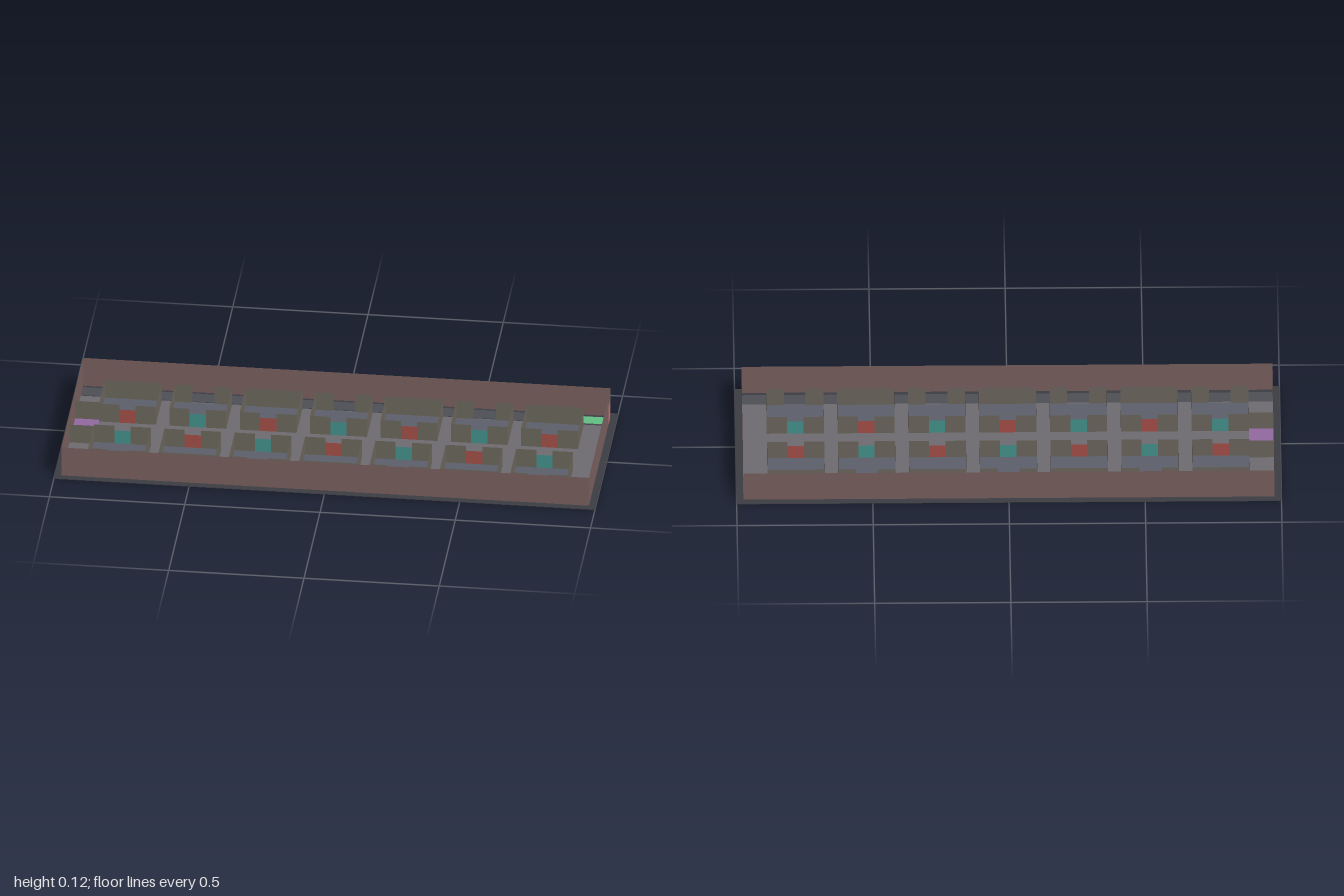
import * as THREE from 'three';

const mat = (color) => new THREE.MeshStandardMaterial({ color, side: THREE.DoubleSide });
const M = {
  base: mat(0x3c3c44), walkway: mat(0x4e4e56), hall: mat(0x6e6c70), cell: mat(0x5c606a),
  outer: mat(0x7a6260), inner: mat(0x6e695f), red: mat(0xa8504a), teal: mat(0x45958f),
  gate: mat(0xc87470), purple: mat(0x9268a0), green: mat(0x62c084),
};

const OUTER_H = 0.12, WALL_H = 0.075, DOOR_H = 0.055, FLOOR = 0.003;
const X = 0.975, Z = 0.34;

export function createModel() {
  const root = new THREE.Group();

  // flat floor tile between two corners
  function tile(parent, name, x0, x1, z0, z1, y, material) {
    const m = new THREE.Mesh(new THREE.PlaneGeometry(x1 - x0, z1 - z0).rotateX(-Math.PI / 2), material);
    m.position.set((x0 + x1) / 2, y, (z0 + z1) / 2);
    m.name = name;
    parent.add(m);
  }

  // thin upright panel between two ground points
  function wall(parent, name, x0, z0, x1, z1, h, material) {
    const m = new THREE.Mesh(new THREE.PlaneGeometry(Math.hypot(x1 - x0, z1 - z0), h), material);
    m.position.set((x0 + x1) / 2, FLOOR + h / 2, (z0 + z1) / 2);
    m.rotation.y = -Math.atan2(z1 - z0, x1 - x0);
    m.name = name;
    parent.add(m);
  }

  // ground slab
  const base = new THREE.Mesh(new THREE.BoxGeometry(2, 0.002, 0.73), M.base);
  base.position.y = 0.001;
  base.name = 'groundSlab';
  root.add(base);

  // central hall and segmented service walkways
  tile(root, 'hallFloor', -X, X, -0.265, 0.265, FLOOR, M.hall);
  const walkways = [[-0.27, -0.33, [-X, -0.26, 0.26, X]], [0.325, 0.265, [-X, -0.52, 0, 0.52, X]]];
  for (const [za, zb, cuts] of walkways) {
    for (let i = 0; i < cuts.length - 1; i++) {
      tile(root, 'walkwayFloor', cuts[i], cuts[i + 1], zb, za, FLOOR, M.walkway);
    }
  }

  // outer walls, with an entrance gap at the back of the left end
  const H = OUTER_H - FLOOR;
  wall(root, 'frontOuterWall', -X, Z, X, Z, H, M.outer);
  wall(root, 'backOuterWall', -X, -Z, X, -Z, H, M.outer);
  wall(root, 'rightOuterWall', -X, -Z, -X, Z, H, M.outer);
  wall(root, 'leftOuterWall', X, -0.273, X, Z, H, M.outer);
  wall(root, 'leftOuterWallEnd', X, -Z, X, -0.325, H, M.outer);
  wall(root, 'entranceDoor', X, -0.325, X, -0.273, 0.078, M.gate);
  tile(root, 'entranceFloor', 0.87, 0.963, -0.325, -0.273, 0.0045, M.green);

  // control room at the right end of the hall
  tile(root, 'controlRoomFloor', -X, -0.885, -0.09, 0.09, 0.0045, M.purple);
  for (const s of [-1, 1]) wall(root, 'controlRoomWall', -X, s * 0.09, -0.885, s * 0.09, WALL_H, M.inner);

  // two rows of seven rooms; alternate rooms open onto the walkway
  const w = 0.105, door = 0.03, gap = 0.04;
  for (const s of [-1, 1]) {
    for (let i = 0; i < 7; i++) {
      const room = new THREE.Group();
      room.name = 'room';
      room.position.x = (i - 3) * 0.26;
      const zn = s * 0.079, zf = s * 0.258;
      const open = (i % 2 === 1) === (s < 0);
      tile(room, 'roomFloor', -w, w, Math.min(zn, zf), Math.max(zn, zf), 0.0045, M.cell);
      for (const d of [-1, 1]) {
        wall(room, 'roomSideWall', d * w, zn, d * w, zf, WALL_H, M.inner);
        wall(room, 'roomFrontWall', d * w, zn, d * door, zn, WALL_H, M.inner);
        if (open) wall(room, 'roomRearStub', d * w, zf, d * gap, zf, WALL_H, M.inner);
      }
      if (!open) wall(room, 'roomRearWall', -w, zf, w, zf, WALL_H, M.inner);
      wall(room, 'roomDoor', -door, zn, door, zn, DOOR_H, open ? M.teal : M.red);
      root.add(room);
    }
  }
  return root;
}
